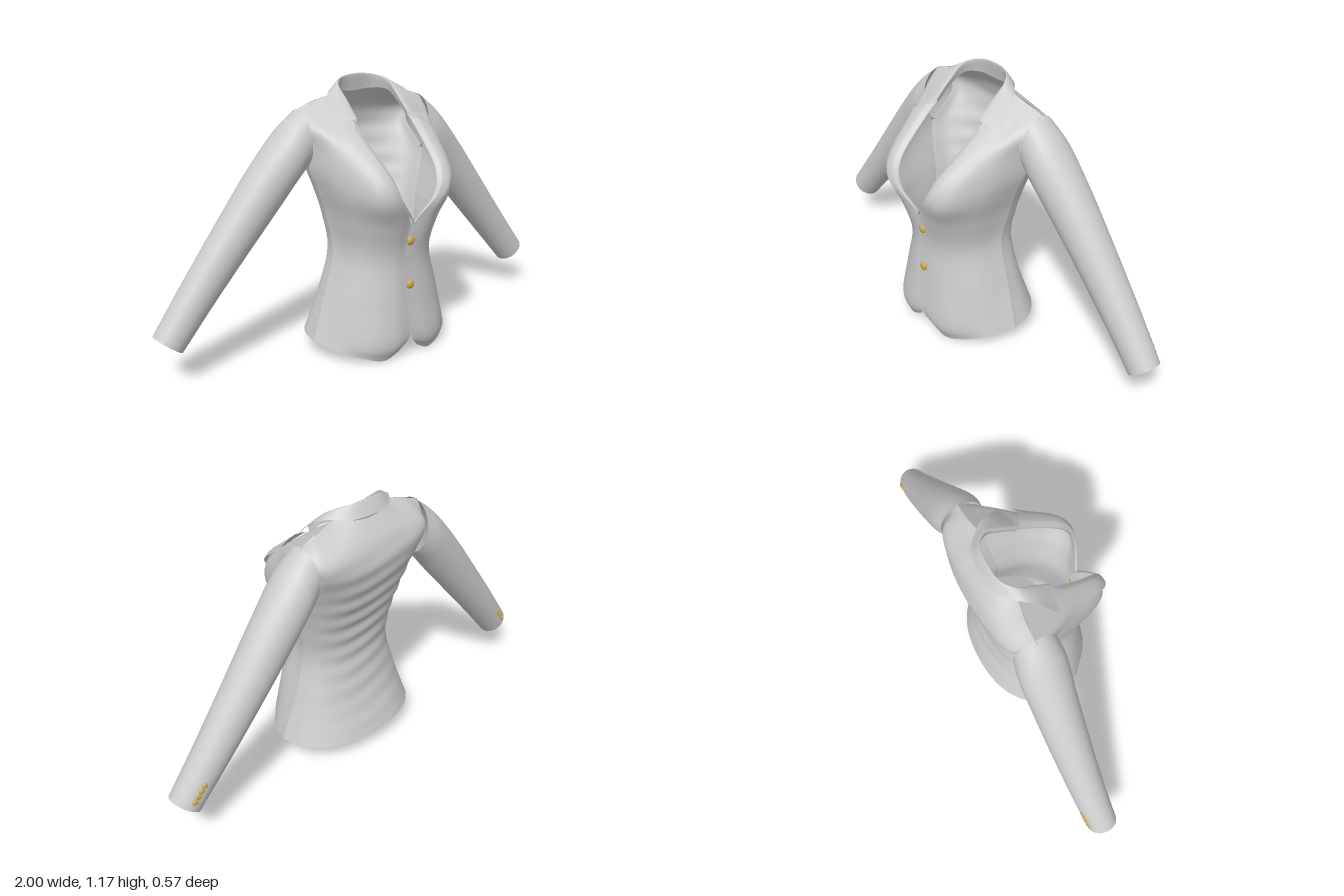
import * as THREE from 'three';
import { mergeVertices } from 'three/addons/utils/BufferGeometryUtils.js';

const cloth = new THREE.MeshStandardMaterial({ color: 0xcccccc, side: THREE.DoubleSide });
const brass = new THREE.MeshStandardMaterial({ color: 0xc9a94e });

const V = (x, y, z) => new THREE.Vector3(x, y, z);
const mirrorX = (p) => V(-p.x, p.y, p.z);

// Flat list of coordinates -> rows of points
function net(flat, columns) {
  const rows = [];
  for (let i = 0; i < flat.length; i += columns * 3) {
    const row = [];
    for (let j = 0; j < columns; j++) row.push(V(...flat.slice(i + j * 3, i + j * 3 + 3)));
    rows.push(row);
  }
  return rows;
}

// Smooth surface through a net of points, u along the rows, v across them
function surface(rows) {
  const curves = rows.map((r) => new THREE.CatmullRomCurve3(r, false, 'catmullrom', 0.5));
  return (u, v) =>
    new THREE.CatmullRomCurve3(curves.map((c) => c.getPoint(u)), false, 'catmullrom', 0.5).getPoint(v);
}

// Sheet of cloth following point(u, v)
function sheet(name, point, nu, nv) {
  const geo = new THREE.PlaneGeometry(1, 1, nu, nv);
  const pos = geo.attributes.position;
  for (let i = 0; i < pos.count; i++) {
    const p = point(pos.getX(i) + 0.5, pos.getY(i) + 0.5);
    pos.setXYZ(i, p.x, p.y, p.z);
  }
  geo.deleteAttribute('uv');
  geo.deleteAttribute('normal');
  const merged = mergeVertices(geo, 1e-5);
  merged.computeVertexNormals();
  const mesh = new THREE.Mesh(merged, cloth);
  mesh.name = name;
  return mesh;
}

// Mirrored rule for the right-hand side
const mirrored = (point) => (u, v) => mirrorX(point(1 - u, v));

// Front panel, from the hem up to the shoulder: opening edge -> side seam
const frontRows = net([
  0.05, 0.03, 0.21, 0.12, 0.0, 0.2, 0.2, 0.02, 0.175, 0.29, 0.05, 0.1, 0.34, 0.07, -0.02,
  0.0, 0.1, 0.232, 0.1, 0.08, 0.23, 0.19, 0.09, 0.195, 0.275, 0.11, 0.1, 0.322, 0.12, -0.02,
  -0.02, 0.27, 0.222, 0.08, 0.27, 0.215, 0.16, 0.27, 0.18, 0.235, 0.27, 0.1, 0.272, 0.27, -0.03,
  -0.03, 0.45, 0.215, 0.07, 0.45, 0.205, 0.14, 0.45, 0.168, 0.195, 0.45, 0.09, 0.225, 0.45, -0.03,
  0.0, 0.6, 0.228, 0.09, 0.6, 0.238, 0.16, 0.6, 0.2, 0.215, 0.6, 0.1, 0.24, 0.6, -0.05,
  0.08, 0.72, 0.262, 0.14, 0.72, 0.272, 0.2, 0.72, 0.23, 0.25, 0.72, 0.1, 0.27, 0.72, -0.06,
  0.115, 0.82, 0.232, 0.17, 0.82, 0.23, 0.22, 0.82, 0.18, 0.27, 0.82, 0.06, 0.3, 0.82, -0.08,
  0.135, 0.93, 0.11, 0.18, 0.93, 0.105, 0.225, 0.93, 0.08, 0.27, 0.93, 0.03, 0.298, 0.93, -0.04,
  0.14, 1.02, 0.0, 0.19, 1.01, 0.0, 0.24, 1.0, -0.015, 0.28, 0.995, -0.03, 0.312, 0.99, -0.06,
], 5);
frontRows.push(net([0.14, 1.11, -0.13, 0.19, 1.1, -0.13, 0.24, 1.085, -0.135, 0.29, 1.07, -0.14, 0.33, 1.055, -0.14], 5)[0]);
const front = surface(frontRows);

// Right front tucks under the left where they overlap
const underFront = (u, v) => {
  const p = front(u, v);
  p.z -= 0.012 * THREE.MathUtils.clamp((0.06 - p.x) / 0.08, 0, 1);
  return p;
};

// Back: shares the side seam, with rounded sections out to a centre line [y, z]
const backCentre = [
  [0.085, -0.27], [0.135, -0.252], [0.27, -0.205], [0.45, -0.175], [0.6, -0.19],
  [0.72, -0.225], [0.82, -0.255], [0.93, -0.275], [1.02, -0.25],
];
function backSurface() {
  const rows = backCentre.map(([y, z], i) => {
    const s = frontRows[i][4].clone();
    if (i === 7) s.z = -0.19;
    if (i === 8) s.z = -0.19;
    const half = [0, 1, 2, 3].map((k) => {
      const a = (k / 4) * Math.PI / 2, b = Math.sin(a) ** 0.9;
      return V(s.x * Math.cos(a) ** 0.9, s.y + (y - s.y) * b, s.z + (z - s.z) * b);
    });
    return [...half, V(0, y, z), ...half.slice().reverse().map(mirrorX)];
  });
  const top = net([0.33, 1.055, -0.14, 0.24, 1.085, -0.14, 0.14, 1.11, -0.13, 0.08, 1.105, -0.175], 4)[0];
  rows.push([...top, V(0, 1.1, -0.19), ...top.slice().reverse().map(mirrorX)]);
  const base = surface(rows);
  // Soft horizontal drag folds
  return (u, v) => {
    const p = base(u, v);
    const fade = Math.sin(Math.PI * u) ** 2 * Math.sin(Math.PI * v) ** 2;
    p.z += 0.005 * fade * Math.sin(p.y * 72 + 1.5 * Math.sin(p.x * 9));
    return p;
  };
}

// Lapel: lies just above the front panel, widening up to the notch
function lapel(u, v) {
  const row = 4 + v * (3.8 - 0.62 * u);
  const p = front((u * 2.45 * v) / 4, row / 9);
  const lift = 0.004 + 0.012 * Math.min(1, u * 4);
  return p.add(V(0, lift * 0.5, lift));
}

// Collar: stand, roll line and outer edge, from the notch to the centre back
function collarSurface() {
  const halves = net([
    0.135, 1.0, 0.015, 0.135, 1.06, -0.05, 0.13, 1.1, -0.12, 0.08, 1.105, -0.17,
    0.14, 1.025, 0.03, 0.135, 1.095, -0.045, 0.128, 1.145, -0.11, 0.08, 1.167, -0.16,
    0.25, 1.0, 0.005, 0.212, 1.085, -0.06, 0.175, 1.12, -0.12, 0.1, 1.118, -0.19,
  ], 4);
  const centre = net([0, 1.1, -0.18, 0, 1.175, -0.17, 0, 1.12, -0.208], 3)[0];
  return surface(halves.map((h, i) => [...h.map(mirrorX), centre[i], ...h.slice().reverse()]));
}

// Sleeve rings: top x, top y, bottom x, bottom y, centre z, half depth
const sleeveRings = [
  [0.315, 1.06, 0.295, 0.815, -0.135, 0.095],
  [0.4, 0.99, 0.345, 0.765, -0.138, 0.106],
  [0.53, 0.845, 0.435, 0.655, -0.145, 0.098],
  [0.72, 0.598, 0.585, 0.485, -0.15, 0.086],
  [0.88, 0.385, 0.75, 0.3, -0.15, 0.075],
  [1.0, 0.225, 0.89, 0.14, -0.145, 0.066],
];
const sleeveTop = new THREE.CatmullRomCurve3(sleeveRings.map((r) => V(r[0], r[1], r[4])));
const sleeveBottom = new THREE.CatmullRomCurve3(sleeveRings.map((r) => V(r[2], r[3], r[4])));
const sleeveDepth = new THREE.CatmullRomCurve3(sleeveRings.map((r, i) => V(i, r[5], 0)));
function sleeve(u, v) {
  const a = u * Math.PI * 2 - Math.PI;
  const p = sleeveBottom.getPoint(v).lerp(sleeveTop.getPoint(v), 0.5 + 0.5 * Math.cos(a));
  p.z += sleeveDepth.getPoint(v).y * Math.sin(a);
  return p;
}

// Domed button facing along a direction
function button(name, at, facing, radius) {
  const mesh = new THREE.Mesh(new THREE.SphereGeometry(radius, 20, 12), brass);
  mesh.name = name;
  mesh.scale.z = 0.55;
  mesh.position.copy(at);
  mesh.quaternion.setFromUnitVectors(V(0, 0, 1), facing.clone().normalize());
  return mesh;
}

export function createModel() {
  const jacket = new THREE.Group();
  jacket.name = 'jacket';

  // Body
  jacket.add(sheet('leftFront', front, 32, 64));
  jacket.add(sheet('rightFront', mirrored(underFront), 32, 64));
  jacket.add(sheet('back', backSurface(), 56, 90));

  // Lapels and collar
  jacket.add(sheet('leftLapel', lapel, 12, 40));
  jacket.add(sheet('rightLapel', mirrored(lapel), 12, 40));
  jacket.add(sheet('collar', collarSurface(), 56, 14));

  // Sleeves
  jacket.add(sheet('leftSleeve', sleeve, 36, 48));
  jacket.add(sheet('rightSleeve', mirrored(sleeve), 36, 48));

  // Front buttons
  for (const y of [0.525, 0.33]) jacket.add(button('frontButton', V(0, y, 0.219), V(0, 0, 1), 0.02));

  // Cuff buttons along the back of each sleeve
  for (let i = 0; i < 4; i++) {
    const p = sleeve(0.3, 0.885 + i * 0.025);
    const out = V(0.2, 0.15, -1);
    jacket.add(button('leftCuffButton', p, out, 0.012));
    jacket.add(button('rightCuffButton', mirrorX(p), mirrorX(out), 0.012));
  }
  return jacket;
}
